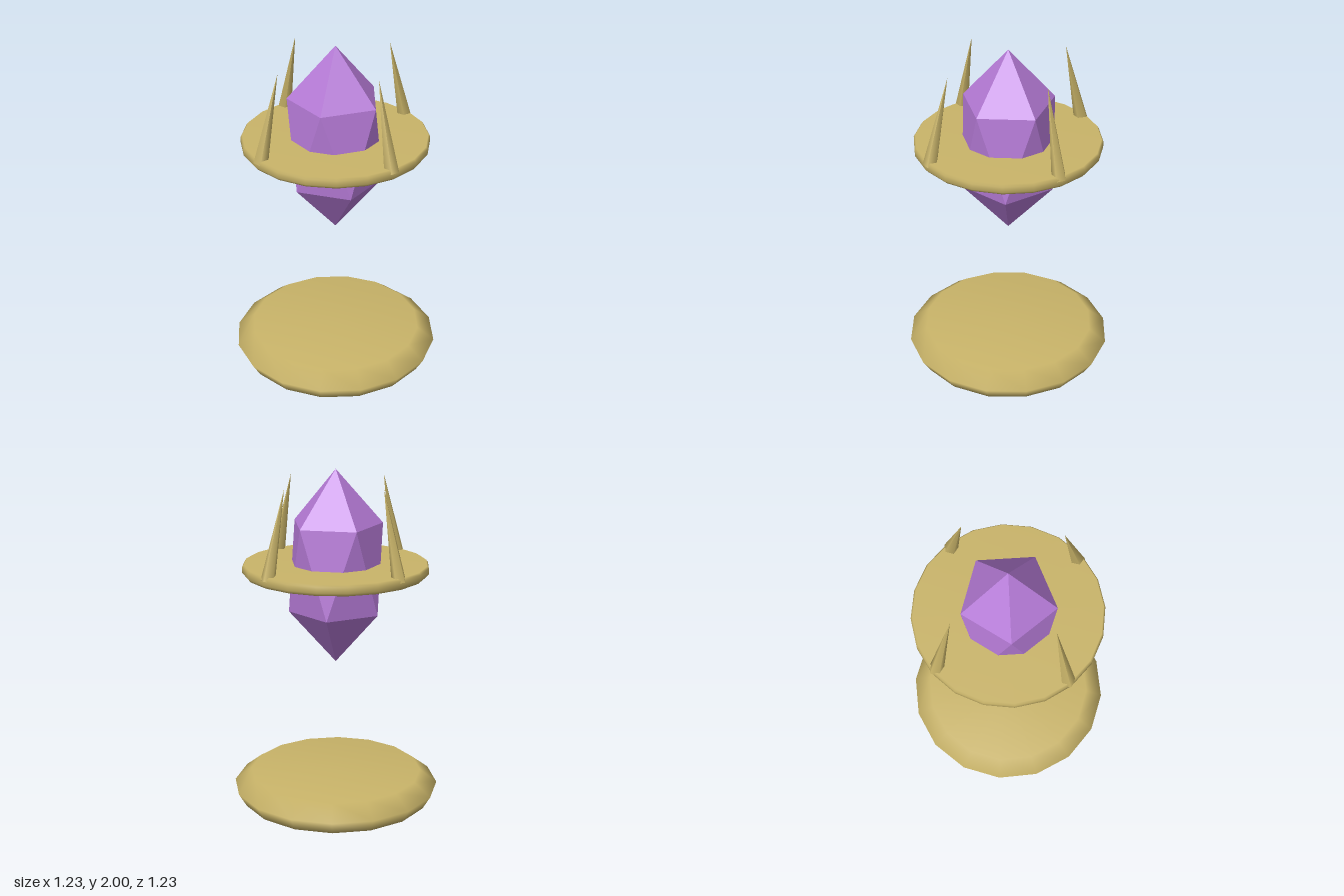
import * as THREE from 'three';
import { ConvexGeometry } from 'three/addons/geometries/ConvexGeometry.js';

const gold = new THREE.MeshStandardMaterial({ color: 0xc9b469 });
gold.name = 'gold';
const purple = new THREE.MeshStandardMaterial({ color: 0xb57ad6 });
purple.name = 'purple crystal';

function addMesh(parent, name, geometry, material) {
  const mesh = new THREE.Mesh(geometry, material);
  mesh.name = name;
  parent.add(mesh);
  return mesh;
}

// Smooth turned solid from a [radius, height] profile, bottom to top
function turned(profile, sides) {
  return new THREE.LatheGeometry(profile.map(([r, y]) => new THREE.Vector2(r, y)), sides);
}

// Stretched icosahedron: two tips and two opposed rings of five
function crystalGeometry() {
  const points = [new THREE.Vector3(0, 2, 0), new THREE.Vector3(0, 0.85, 0)];
  const radius = 0.276;
  for (let i = 0; i < 5; i++) {
    const a = (i / 5) * Math.PI * 2;
    const x = Math.cos(a) * radius;
    const z = Math.sin(a) * radius;
    points.push(new THREE.Vector3(x, 1.683, z), new THREE.Vector3(-x, 1.167, -z));
  }
  return new ConvexGeometry(points);
}

export function createModel() {
  const model = new THREE.Group();
  model.name = 'floatingCrystal';

  // Pedestal on the ground
  addMesh(model, 'base', turned([[0, 0], [0.57, 0], [0.617, 0.08], [0.515, 0.16], [0, 0.16]], 16), gold);

  // Floating disc around the crystal
  addMesh(model, 'disc', turned(
    [[0, 1.39], [0.53, 1.39], [0.545, 1.408], [0.545, 1.442], [0.535, 1.455], [0, 1.455]], 20), gold);

  addMesh(model, 'crystal', crystalGeometry(), purple);

  // Four five-sided spikes leaning inwards
  const length = 0.52;
  const tilt = 0.245;
  const spikeGeometry = new THREE.ConeGeometry(0.043, length, 5);
  spikeGeometry.rotateY(Math.PI).translate(0, length / 2, 0);
  const spikes = new THREE.Group();
  spikes.name = 'spikes';
  model.add(spikes);
  for (const [name, x, z] of [['front', 0, 1], ['back', 0, -1], ['left', 1, 0], ['right', -1, 0]]) {
    const spike = addMesh(spikes, name + 'Spike', spikeGeometry, gold);
    spike.position.set(x * 0.515, 1.425, z * 0.515);
    spike.rotation.set(-z * tilt, 0, x * tilt);
  }
  return model;
}
